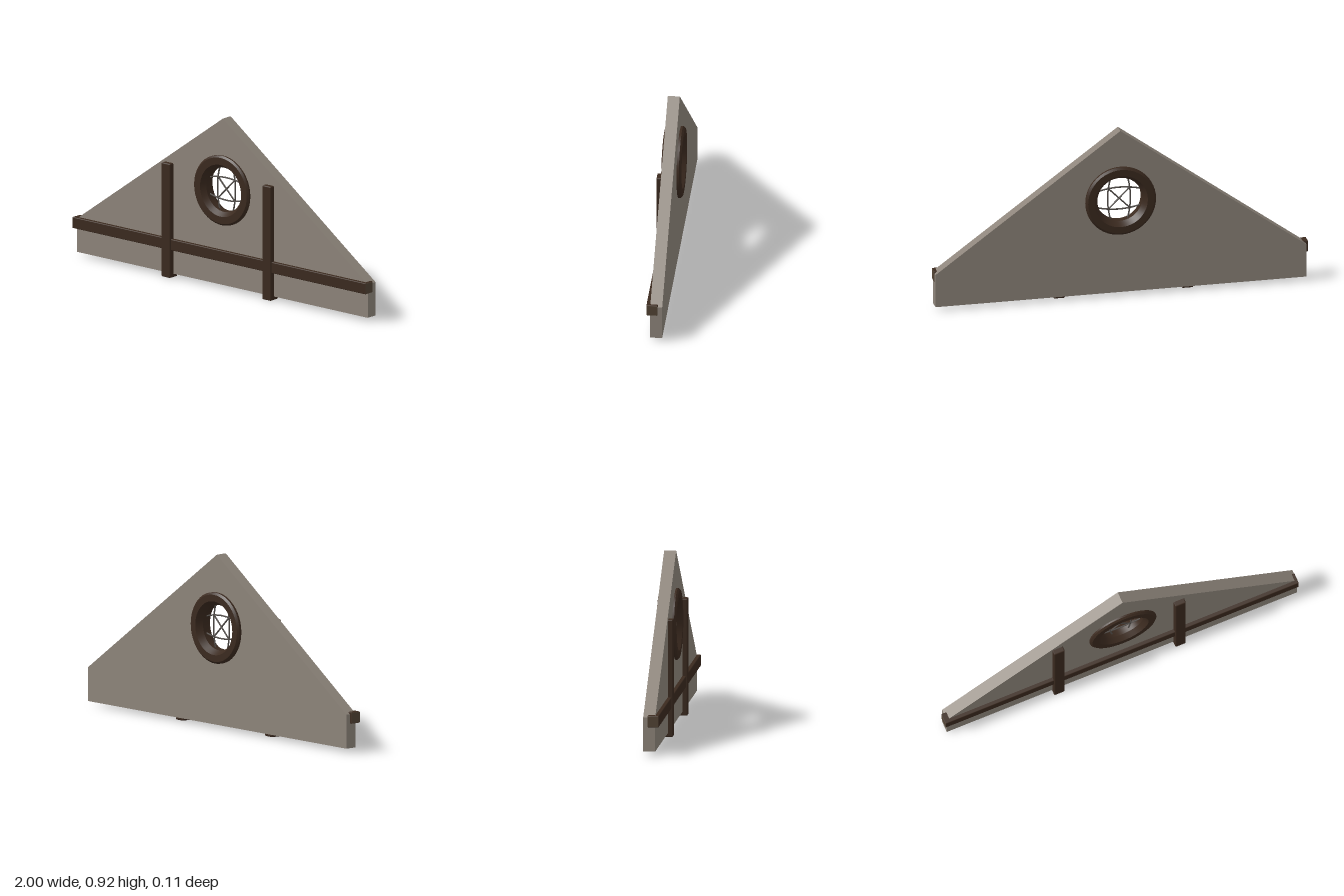
import * as THREE from 'three';
import { toCreasedNormals } from 'three/addons/utils/BufferGeometryUtils.js';
import { RoundedBoxGeometry } from 'three/addons/geometries/RoundedBoxGeometry.js';

const CX = 0.01, CY = 0.533; // window centre

function material(name, color) {
  const m = new THREE.MeshStandardMaterial({ color });
  m.name = name;
  return m;
}

export function createModel() {
  const plaster = material('plaster', 0x8e857b);
  const wood = material('darkWood', 0x3b2a1f);
  const endGrain = material('endGrain', 0x524334);
  const lead = material('windowLead', 0x55504c);

  const model = new THREE.Group();
  model.name = 'gable';
  const add = (name, geometry, mat, x = 0, y = 0, z = 0, parent = model) => {
    const mesh = new THREE.Mesh(geometry, mat);
    mesh.name = name;
    mesh.position.set(x, y, z);
    parent.add(mesh);
    return mesh;
  };

  // Gable wall with a round opening
  const outline = new THREE.Shape();
  outline.moveTo(-0.985, 0.02);
  outline.lineTo(0.998, 0.02);
  outline.lineTo(0.998, 0.2);
  outline.lineTo(CX, 0.92);
  outline.lineTo(-0.985, 0.2);
  outline.closePath();
  const hole = new THREE.Path();
  hole.absarc(CX, CY, 0.155, 0, Math.PI * 2, true);
  outline.holes.push(hole);
  add('wall', new THREE.ExtrudeGeometry(outline, { depth: 0.063, bevelEnabled: false, curveSegments: 32 }),
    plaster, 0, 0, -0.033);

  // Timber beam and two posts, with eased edges
  add('beam', new RoundedBoxGeometry(2, 0.06, 0.06, 1, 0.004),
    [endGrain, endGrain, wood, wood, wood, wood], 0, 0.18, 0.02);
  for (const x of [-0.357, 0.329]) {
    add('post', new RoundedBoxGeometry(0.06, 0.618, 0.062, 1, 0.006), wood, x, 0.309, 0.026);
  }

  // Round window
  const roundWindow = new THREE.Group();
  roundWindow.name = 'roundWindow';
  roundWindow.position.set(CX, CY, 0);
  model.add(roundWindow);

  // Frame: closed section (radius, depth) turned about the z axis
  const section = [
    [0.12, -0.02], [0.142, -0.055], [0.177, -0.055], [0.188, -0.045], [0.188, 0.039],
    [0.178, 0.048], [0.14, 0.048], [0.12, 0.02], [0.12, -0.02],
  ].map(([r, d]) => new THREE.Vector2(r, d));
  const ring = new THREE.LatheGeometry(section, 48).rotateX(Math.PI / 2);
  add('windowFrame', toCreasedNormals(ring, 0.5), wood, 0, 0, 0, roundWindow);

  // Leading: four bowed bars and a central cross
  const bar = (name, a, b, c, turn) => {
    const curve = new THREE.QuadraticBezierCurve3(
      new THREE.Vector3(...a, 0), new THREE.Vector3(...b, 0), new THREE.Vector3(...c, 0));
    const mesh = add(name, new THREE.TubeGeometry(curve, 10, 0.0042, 6), lead, 0, 0, 0, roundWindow);
    mesh.rotation.z = turn;
  };
  for (let i = 0; i < 4; i++) {
    bar('bowedBar', [-0.116, 0.045], [0, 0.077], [0.116, 0.045], i * Math.PI / 2);
  }
  for (const turn of [Math.PI / 4, -Math.PI / 4]) {
    bar('crossBar', [-0.08, 0], [0, 0], [0.08, 0], turn);
  }
  return model;
}
